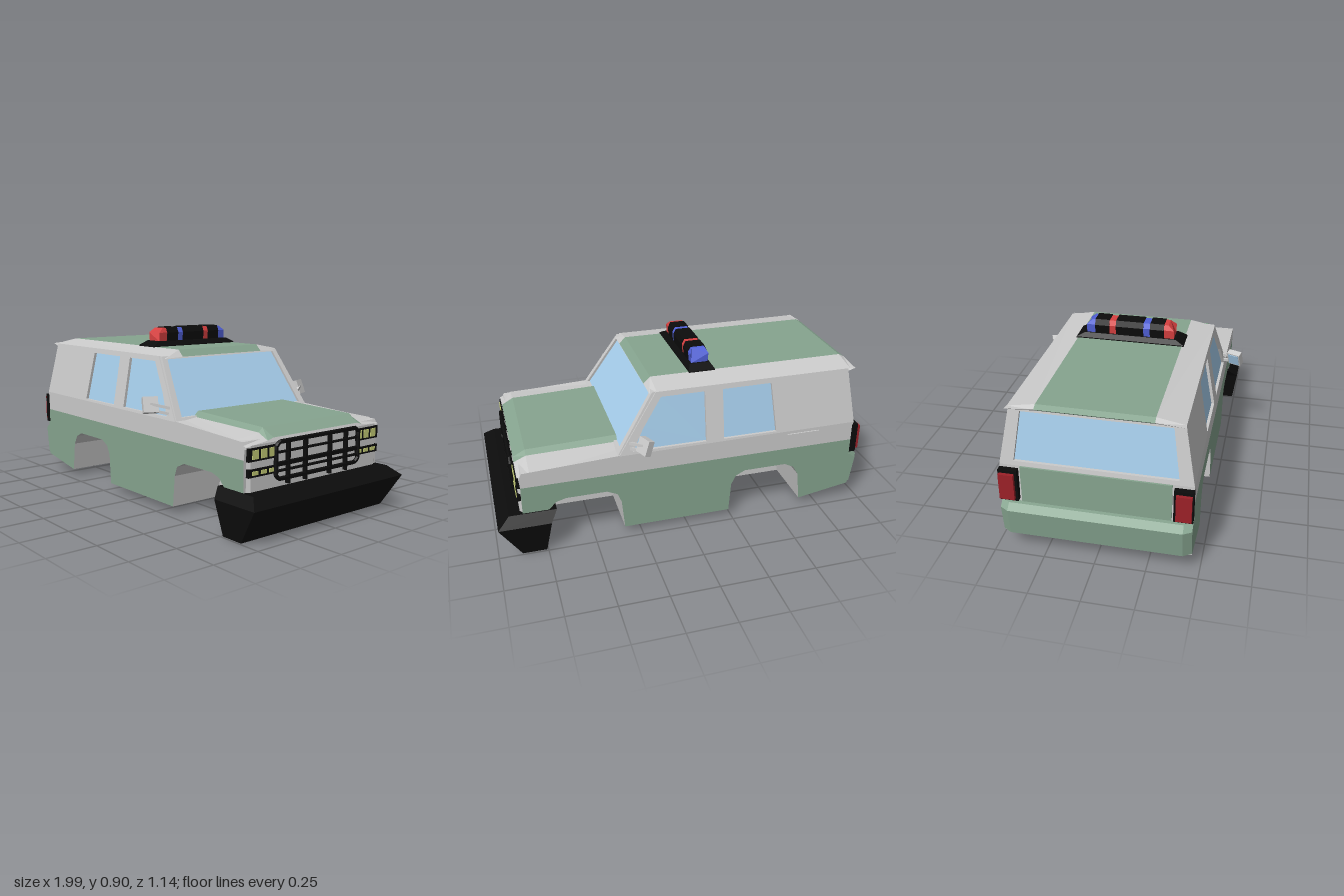
import * as THREE from 'three';

const mat = (color) => new THREE.MeshStandardMaterial({ color, side: THREE.DoubleSide, flatShading: true });
const grey = mat(0xcccccc), green = mat(0x86a48f), black = mat(0x0c0c0c), glass = mat(0xa8d0ee);
const red = mat(0xd84040), blue = mat(0x5060d8), yellow = mat(0xc8d078), darkRed = mat(0x9c2028);

export function createModel() {
  const root = new THREE.Group();

  const add = (name, geo, material, parent = root) => {
    const m = new THREE.Mesh(geo, material);
    m.name = name;
    parent.add(m);
    return m;
  };
  // Box given by its limits on each axis
  const box = (name, [x0, x1], [y0, y1], [z0, z1], material, parent) => {
    const m = add(name, new THREE.BoxGeometry(Math.abs(x1 - x0), Math.abs(y1 - y0), Math.abs(z1 - z0)), material, parent);
    m.position.set((x0 + x1) / 2, (y0 + y1) / 2, (z0 + z1) / 2);
    return m;
  };
  const shapeOf = (pts) => new THREE.Shape(pts.map((p) => new THREE.Vector2(...p)));
  // Side silhouette extruded between two z values
  const slab = (name, pts, z0, z1, material) => {
    const geo = new THREE.ExtrudeGeometry(shapeOf(pts), { depth: z1 - z0, bevelEnabled: false });
    return add(name, geo.translate(0, 0, z0), material);
  };
  // Surface through rows of equally many points
  const patch = (name, rows, material) => {
    const n = rows[0].length, index = [];
    for (let r = 0; r < rows.length - 1; r++)
      for (let c = 0; c < n - 1; c++) {
        const a = r * n + c;
        index.push(a, a + 1, a + n, a + 1, a + n + 1, a + n);
      }
    const geo = new THREE.BufferGeometry();
    geo.setAttribute('position', new THREE.Float32BufferAttribute(rows.flat(2), 3));
    geo.setIndex(index);
    const flat = geo.toNonIndexed();
    flat.computeVertexNormals();
    return add(name, flat, material);
  };
  // Frame with window holes, bent into place by map(u, v, depth), plus inset glass
  const panel = (name, outline, holes, map, depth = 0.025) => {
    const g = new THREE.Group();
    g.name = name;
    root.add(g);
    const place = (geo, d = 0) => {
      const p = geo.attributes.position;
      for (let i = 0; i < p.count; i++) p.setXYZ(i, ...map(p.getX(i), p.getY(i), p.getZ(i) + d));
      geo.computeVertexNormals();
      return geo;
    };
    const s = shapeOf(outline);
    s.holes = holes.map(shapeOf);
    add(name + 'Frame', place(new THREE.ExtrudeGeometry(s, { depth, bevelEnabled: false })), grey, g);
    holes.forEach((h) => add(name + 'Glass', place(new THREE.ShapeGeometry(shapeOf(h)), depth * 0.6), glass, g));
  };

  // Lower body with wheel arches, grey inside the arches and underneath
  const rearArch = [[-0.65, 0.04], [-0.63, 0.2], [-0.6, 0.25], [-0.55, 0.275], [-0.32, 0.275], [-0.27, 0.25], [-0.245, 0.2], [-0.235, 0.04]];
  const frontArch = [[0.34, 0.04], [0.355, 0.2], [0.375, 0.25], [0.43, 0.275], [0.64, 0.275], [0.69, 0.26], [0.73, 0.22], [0.75, 0.15], [0.76, 0.1]];
  const tail = [[-0.935, 0.37], [-0.94, 0.275], [-0.96, 0.25], [-0.94, 0.088]];
  const sill = [...tail, ...rearArch, ...frontArch, [0.86, 0.1], [0.86, 0.37]];
  slab('leftLowerBody', sill, 0.16, 0.46, [green, grey]);
  slab('rightLowerBody', sill, -0.46, -0.16, [green, grey]);
  slab('floor', [...tail, [-0.65, 0.04], [0.76, 0.04], [0.86, 0.1], [0.86, 0.37]], -0.16, 0.16, grey);
  slab('beltBody', [[-0.935, 0.37], [0.86, 0.37], [0.865, 0.42], [0.85, 0.452], [0.36, 0.475], [-0.935, 0.48]], -0.46, 0.46, grey);
  box('fuelFlap', [-0.73, -0.55], [0.39, 0.46], [-0.467, -0.458], grey);

  // Bonnet: grey shoulders and raised green centre
  const hood = [[0.34, 0.47, 0.482, 0.508], [0.81, 0.457, 0.473, 0.494], [0.872, 0.43, 0.445, 0.455]];
  for (const s of [1, -1])
    patch('bonnetShoulder', hood.map(([x, a, b]) => [[x, a, s * 0.46], [x, b, s * 0.325]]), grey);
  patch('bonnet', hood.map(([x, , b, c], i) => {
    const w = i === 2 ? 0.29 : 0.3;
    return [[x, b, 0.326], [x, c, w], [x, c, -w], [x, b, -0.326]];
  }), green);

  // Cabin sides lean inwards
  const sideWindows = [
    [[-0.485, 0.487], [-0.195, 0.487], [-0.195, 0.75], [-0.46, 0.75]],
    [[-0.1, 0.487], [0.29, 0.487], [0.23, 0.6], [0.13, 0.75], [-0.1, 0.75]],
  ];
  for (const s of [1, -1])
    panel(s > 0 ? 'leftCabinSide' : 'rightCabinSide', [[-0.935, 0.478], [0.36, 0.472], [0.155, 0.777], [-0.895, 0.777]],
      sideWindows, (x, y, d) => [x, y, s * (0.46 - (y - 0.48) * 0.18 - d)]);
  // Windscreen and rear window
  panel('windscreen', [[-0.455, 0.472], [0.455, 0.472], [0.4, 0.775], [-0.4, 0.775]],
    [[[-0.415, 0.488], [0.415, 0.488], [0.372, 0.76], [-0.372, 0.76]]],
    (z, y, d) => [0.365 - (y - 0.475) * 0.64 - d, y, z]);
  panel('rearWindow', [[-0.46, 0.478], [0.46, 0.478], [0.406, 0.775], [-0.406, 0.775]],
    [[[-0.39, 0.5], [0.39, 0.5], [0.355, 0.752], [-0.355, 0.752]]],
    (z, y, d) => [-0.937 + (y - 0.48) * 0.14 + d, y, z]);

  // Roof with rear lip and sloping front edge
  const roof = [[-0.893, 0.755, 0.76, 0.4], [-0.932, 0.778, 0.788, 0.415], [-0.905, 0.778, 0.802, 0.41], [0.15, 0.777, 0.802, 0.405], [0.185, 0.763, 0.768, 0.385]];
  for (const s of [1, -1])
    patch('roofEdge', roof.map(([x, a, b, w]) => [[x, a, s * w], [x, b, s * 0.275]]), grey);
  patch('roof', roof.map(([x, , b]) => [[x, b, 0.275], [x, b, -0.275]]), green);

  // Light bar, cut into coloured and black sections
  patch('lightBarBase', [[-0.195, -0.055, 0.801, 0.285], [-0.195, -0.055, 0.807, 0.283], [-0.18, -0.07, 0.83, 0.24], [-0.125, -0.125, 0.83, 0.01]]
    .map(([a, b, y, z]) => [[a, y, z], [b, y, z], [b, y, -z], [a, y, -z], [a, y, z]]), black);
  const bar = [[0.23, red], [0.178, black], [0.105, blue], [0.07, black], [-0.075, red], [-0.11, black], [-0.185, blue], [-0.23]];
  for (let i = 0; i < bar.length - 1; i++) {
    const e = bar[i][1] === black ? 0.004 : 0;
    const m = slab('lightBarSection', [[-0.172 - e, 0.828], [-0.176 - e, 0.875], [-0.163 - e, 0.9 + e], [-0.092 + e, 0.9 + e], [-0.079 + e, 0.875], [-0.083 + e, 0.828]],
      bar[i + 1][0], bar[i][0], bar[i][1]);
    // Slope the outer ends
    const p = m.geometry.attributes.position;
    for (let k = 0; k < p.count; k++)
      if (Math.abs(p.getZ(k)) > 0.22 && p.getY(k) > 0.88) p.setZ(k, Math.sign(p.getZ(k)) * 0.2);
    m.geometry.computeVertexNormals();
  }

  // Front face with chamfered corners
  const face = [[0.85, -0.46], [0.872, -0.43], [0.872, 0.43], [0.85, 0.46]];
  patch('frontFace', [0.2, 0.435].map((y) => face.map(([x, z]) => [x, y, z])), grey);
  // Lamps in black surrounds, both sides
  for (const s of [1, -1])
    for (const [y0, y1] of [[0.362, 0.424], [0.29, 0.328]]) {
      box('lampSurround', [0.85, 0.878], [y0, y1], [s * 0.28, s * 0.447], black);
      for (const z of [0.303, 0.355, 0.408])
        box('lamp', [0.86, 0.882], [y0 + 0.01, y1 - 0.01], [s * (z - 0.018), s * (z + 0.018)], yellow);
    }

  // Bull bar: rounded loop with uprights and rails
  const loop = [[0.285, 0.28], [0.285, 0.415], [0.265, 0.434], [-0.265, 0.434], [-0.285, 0.415], [-0.285, 0.28], [-0.265, 0.261], [0.265, 0.261]]
    .map(([z, y]) => new THREE.Vector3(0.885, y, z));
  const path = new THREE.CurvePath();
  loop.forEach((p, i) => path.add(new THREE.LineCurve3(p, loop[(i + 1) % loop.length])));
  add('bullBarLoop', new THREE.TubeGeometry(path, 96, 0.011, 6, false), black);
  for (const z of [0.205, 0.09, -0.08, -0.195])
    box('bullBarUpright', [0.87, 0.893], [0.232, 0.434], [z - 0.006, z + 0.006], black);
  for (const [y, h] of [[0.385, 0.004], [0.33, 0.009], [0.298, 0.004]])
    box('bullBarRail', [0.87, 0.89], [y - h, y + h], [-0.285, 0.285], black);

  // Heavy front bumper lofted through rectangular sections, closed at both ends
  patch('frontBumper', [[0.8, 0.8, 0.222, 0], [0.69, 0.93, 0.222, 0.465], [0.725, 0.99, 0.175, 0.515], [0.757, 0.88, 0.002, 0.49], [0.8, 0.8, 0.002, 0]]
    .map(([a, b, y, z]) => [[a, y, z], [b, y, z], [b, y, -z], [a, y, -z], [a, y, z]]), black);

  // Rear bumper with chamfered corners
  patch('rearBumper', [[-0.93, 0.28], [-0.962, 0.277], [-0.995, 0.25], [-0.975, 0.105], [-0.935, 0.087]].map(([x, y]) => [
    [-0.9, y, 0.461], [x + 0.025, y, 0.461], [x, y, 0.42], [x, y, -0.42], [x + 0.025, y, -0.461], [-0.9, y, -0.461]]), green);
  // Tailgate and tail lights
  box('tailgate', [-0.944, -0.93], [0.275, 0.475], [-0.36, 0.36], green);
  for (const s of [1, -1]) {
    box('tailLightHousing', [-0.965, -0.93], [0.293, 0.462], [s * 0.37, s * 0.462], black);
    box('tailLight', [-0.982, -0.95], [0.308, 0.446], [s * 0.382, s * 0.456], darkRed);
  }

  // Wing mirrors on two struts
  for (const s of [1, -1]) {
    const mirror = new THREE.Group();
    mirror.name = s > 0 ? 'leftMirror' : 'rightMirror';
    mirror.scale.z = s;
    root.add(mirror);
    const head = new THREE.Group();
    head.name = 'mirrorHead';
    head.position.set(0.24, 0.547, 0.523);
    head.rotation.set(0, -0.4, 0.35);
    mirror.add(head);
    box('mirrorShell', [-0.015, 0.02], [-0.04, 0.04], [-0.038, 0.038], grey, head);
    box('mirrorGlass', [-0.018, -0.014], [-0.033, 0.033], [-0.031, 0.031], glass, head);
    for (const y of [0.5, 0.53]) {
      const a = new THREE.Vector3(0.305, y, 0.44), b = new THREE.Vector3(0.25, y + 0.025, 0.53);
      const strut = add('mirrorStrut', new THREE.BoxGeometry(0.014, 0.014, a.distanceTo(b)), grey, mirror);
      strut.position.copy(a).lerp(b, 0.5);
      strut.quaternion.setFromUnitVectors(new THREE.Vector3(0, 0, 1), b.clone().sub(a).normalize());
    }
  }
  return root;
}
